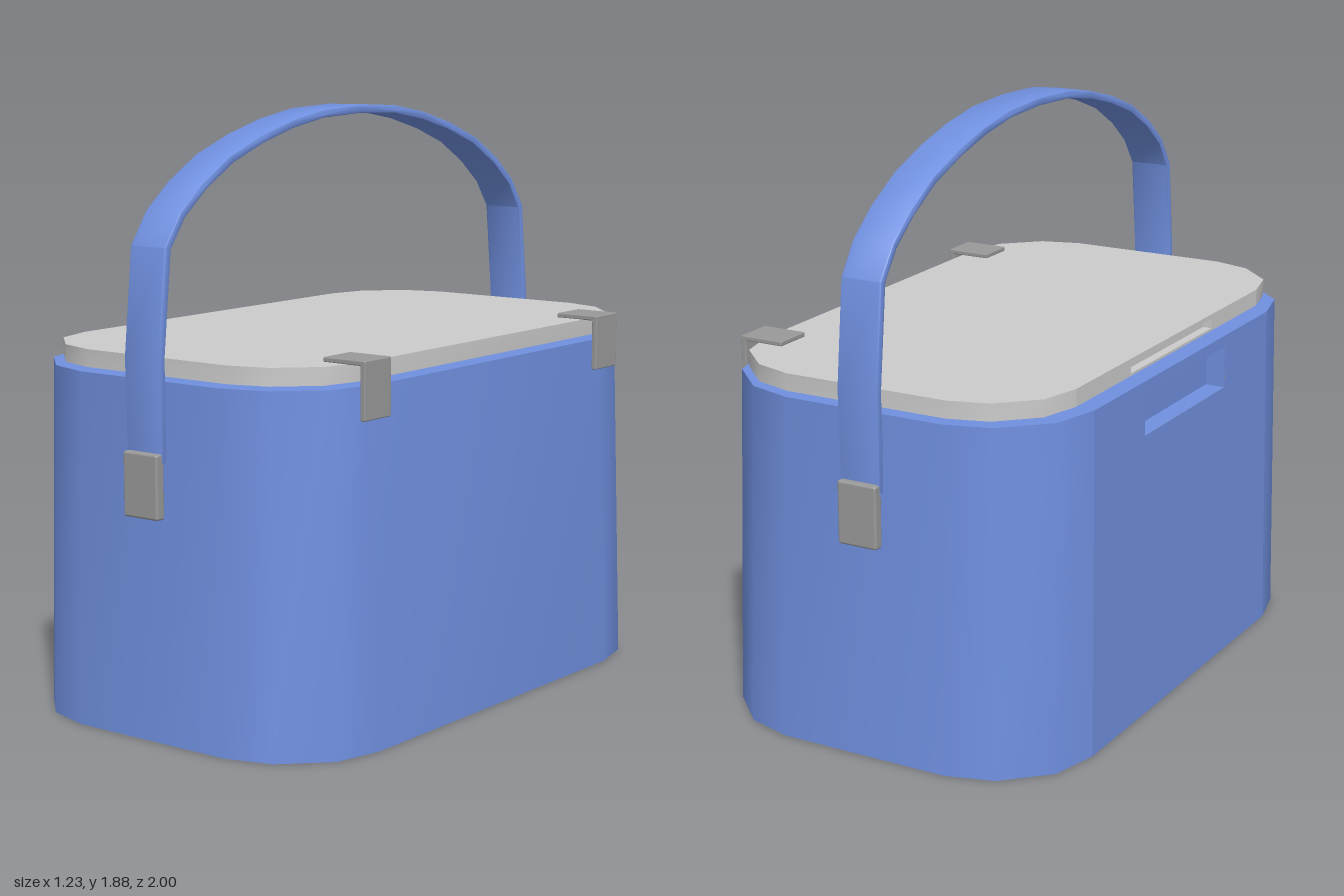
import * as THREE from 'three';
import { toCreasedNormals } from 'three/addons/utils/BufferGeometryUtils.js';
import { RoundedBoxGeometry } from 'three/addons/geometries/RoundedBoxGeometry.js';

const blue = new THREE.MeshStandardMaterial({ color: 0x7090e0 });
const blueInside = new THREE.MeshStandardMaterial({ color: 0x7090e0, side: THREE.BackSide });
const grey = new THREE.MeshStandardMaterial({ color: 0xcccccc });
const greyInside = new THREE.MeshStandardMaterial({ color: 0xcccccc, side: THREE.BackSide });
const metal = new THREE.MeshStandardMaterial({ color: 0x999999 });

function add(parent, name, geometry, material, x = 0, y = 0, z = 0) {
  const mesh = new THREE.Mesh(geometry, material);
  mesh.name = name;
  mesh.position.set(x, y, z);
  parent.add(mesh);
  return mesh;
}

// Faceted rounded-rectangle ring, running from +x towards +z; k scales the corners
function ring({ hx, hz, cx, y, k }) {
  const corner = [[0, 0.335], [0.04, 0.175], [0.175, 0.045], [0.325, 0]]
    .map(([dx, dz]) => [hx - dx * k, hz - dz * k]);
  const back = [...corner].reverse();
  return [
    ...corner,
    ...back.map(([x, z]) => [-x, z]),
    ...corner.map(([x, z]) => [-x, -z]),
    ...back.map(([x, z]) => [x, -z]),
  ].map(([x, z]) => [x + cx, y, z]);
}

// Capped shell between two rings; the flat -x side (segment 7) is left for a panel
function shell(low, high) {
  const a = ring(low), b = ring(high), n = a.length, pos = [];
  for (let i = 0; i < n; i++) {
    const j = (i + 1) % n;
    if (i !== 7) pos.push(...a[i], ...b[i], ...a[j], ...a[j], ...b[i], ...b[j]);
    pos.push(high.cx, high.y, 0, ...b[j], ...b[i]);
    pos.push(low.cx, low.y, 0, ...a[i], ...a[j]);
  }
  const g = new THREE.BufferGeometry();
  g.setAttribute('position', new THREE.Float32BufferAttribute(pos, 3));
  return toCreasedNormals(g, 0.62);
}

// Flat -x side with a rectangular opening
function panel(low, high, slot) {
  const z0 = low.hz - 0.335 * low.k, z1 = high.hz - 0.335 * high.k;
  const v = (x, y) => new THREE.Vector2(x, y);
  const shape = new THREE.Shape([v(-z0, low.y), v(z0, low.y), v(z1, high.y), v(-z1, high.y)]);
  shape.holes.push(new THREE.Path([
    v(-slot.hz, slot.y0), v(-slot.hz, slot.y1), v(slot.hz, slot.y1), v(slot.hz, slot.y0)]));
  const g = new THREE.ShapeGeometry(shape).rotateY(-Math.PI / 2);
  const p = g.attributes.position;
  for (let i = 0; i < p.count; i++) {
    p.setX(i, sideX(low, high, p.getY(i)));
  }
  g.computeVertexNormals();
  return g;
}

function sideX(low, high, y) {
  const t = (y - low.y) / (high.y - low.y);
  return THREE.MathUtils.lerp(low.cx - low.hx, high.cx - high.hx, t);
}

// Open-fronted pocket, drawn from its inside
function pocket(low, high, slot) {
  const ym = (slot.y0 + slot.y1) / 2;
  const g = new THREE.BoxGeometry(slot.depth, slot.y1 - slot.y0, slot.hz * 2);
  const index = Array.from(g.index.array);
  index.splice(6, 6);
  g.setIndex(index);
  g.clearGroups();
  return g.translate(sideX(low, high, ym) + slot.depth / 2, ym, 0);
}

function vessel(name, low, high, slot, material, inside) {
  const group = new THREE.Group();
  group.name = name;
  add(group, name + 'Shell', shell(low, high), material);
  add(group, name + 'GripPanel', panel(low, high, slot), material);
  add(group, name + 'GripRecess', pocket(low, high, slot), inside);
  return group;
}

// Flat strap: outer and inner curve extruded across its width
function strap(width, thickness) {
  const half = [[0.977, 0.86], [0.984, 1.17], [0.95, 1.5], [0.88, 1.6], [0.78, 1.68],
    [0.65, 1.755], [0.5, 1.81], [0.35, 1.85], [0.19, 1.877]];
  const path = [...half, [0, 1.885], ...[...half].reverse().map(([z, y]) => [-z, y])]
    .map(([z, y]) => new THREE.Vector2(z, y));
  const inner = path.map((p, i) => {
    const d = path[Math.min(i + 1, path.length - 1)].clone().sub(path[Math.max(i - 1, 0)]).normalize();
    return new THREE.Vector2(p.x - d.y * thickness, p.y + d.x * thickness);
  });
  const bevel = 0.006;
  const g = new THREE.ExtrudeGeometry(new THREE.Shape([...path, ...inner.reverse()]), {
    depth: width - 2 * bevel, bevelEnabled: true, bevelSegments: 2,
    bevelSize: bevel, bevelThickness: bevel, bevelOffset: -bevel,
  });
  g.translate(0, 0, -width / 2 + bevel).rotateY(-Math.PI / 2);
  return toCreasedNormals(g, 0.6);
}

export function createModel() {
  const model = new THREE.Group();
  model.name = 'coolBox';

  // Tapered body with a finger recess on its right side
  model.add(vessel('body',
    { hx: 0.615, hz: 0.975, cx: -0.002, y: 0, k: 1 },
    { hx: 0.595, hz: 0.957, cx: -0.01, y: 1.105, k: 1 },
    { hz: 0.29, y0: 0.93, y1: 1.067, depth: 0.065 }, blue, blueInside));

  // Lid with a matching narrow slot
  model.add(vessel('lid',
    { hx: 0.553, hz: 0.93, cx: -0.003, y: 1.115, k: 0.85 },
    { hx: 0.553, hz: 0.93, cx: -0.003, y: 1.17, k: 0.85 },
    { hz: 0.29, y0: 1.123, y1: 1.155, depth: 0.03 }, grey, greyInside));

  // Carrying handle and its end brackets
  add(model, 'handle', strap(0.14, 0.026), blue, -0.01, 0, 0);
  for (const s of [1, -1]) {
    add(model, s > 0 ? 'frontHandleBracket' : 'backHandleBracket',
      new RoundedBoxGeometry(0.135, 0.2, 0.036, 2, 0.008), metal, -0.01, 0.79, s * 0.982);
  }

  // Two angled hinges on the left side
  for (const s of [1, -1]) {
    const hinge = new THREE.Group();
    hinge.name = s > 0 ? 'frontHinge' : 'backHinge';
    add(hinge, 'hingeTop', new RoundedBoxGeometry(0.153, 0.016, 0.13, 2, 0.004), metal, 0.5265, 1.177, 0);
    add(hinge, 'hingeSide', new RoundedBoxGeometry(0.018, 0.178, 0.13, 2, 0.004), metal, 0.594, 1.095, 0);
    hinge.position.z = s * 0.637;
    model.add(hinge);
  }
  return model;
}
